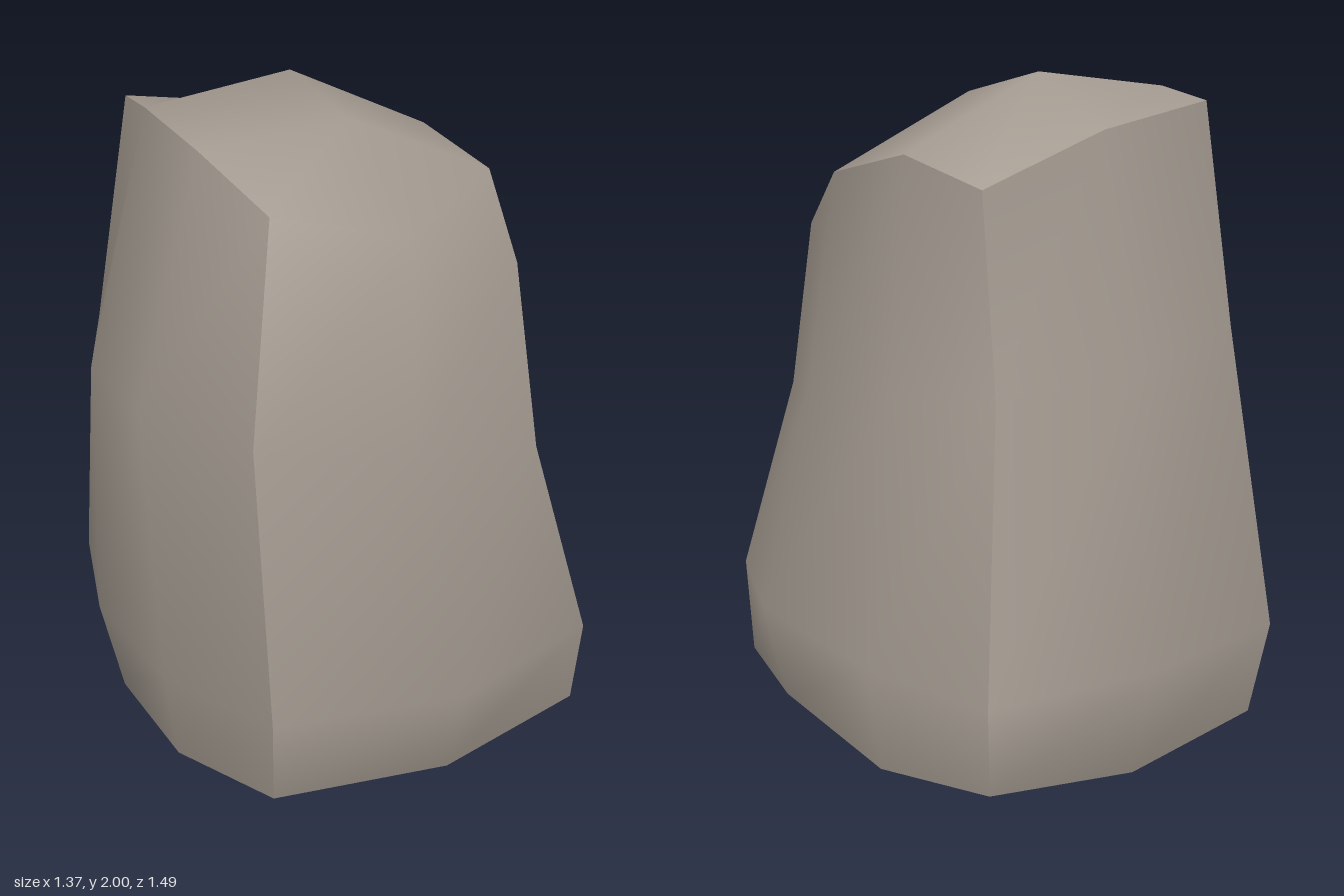
import * as THREE from 'three';
import { mergeGeometries } from 'three/addons/utils/BufferGeometryUtils.js';

// Horizontal rings, bottom to top: front edge (-x to +x), +x side, back edge, -x side
const rings = [
  [[-0.33, 0.21, 0.70], [0.20, 0.155, 0.60], [0.64, 0.21, 0.43], [0.62, 0.175, 0.12], [0.50, 0.14, -0.40],
    [0.30, 0.16, -0.705], [-0.16, 0.11, -0.62], [-0.62, 0.15, -0.45], [-0.62, 0.14, -0.08], [-0.53, 0.16, 0.35]],
  [[-0.34, 0.47, 0.745], [0.21, 0.45, 0.70], [0.645, 0.48, 0.48], [0.685, 0.46, 0.12], [0.54, 0.44, -0.41],
    [0.32, 0.42, -0.745], [-0.17, 0.44, -0.71], [-0.66, 0.43, -0.49], [-0.685, 0.43, -0.07], [-0.57, 0.45, 0.40]],
  [[-0.36, 1.24, 0.655], [0.08, 1.16, 0.64], [0.49, 1.05, 0.43], [0.54, 1.10, 0.09], [0.41, 1.15, -0.26],
    [0.20, 1.17, -0.50], [-0.22, 1.22, -0.49], [-0.61, 1.28, -0.29], [-0.68, 1.25, 0.03], [-0.60, 1.24, 0.34]],
  [[-0.27, 1.79, 0.48], [0.12, 1.70, 0.45], [0.455, 1.55, 0.31], [0.47, 1.73, 0.02], [0.36, 1.80, -0.25],
    [0.21, 1.72, -0.43], [-0.15, 1.86, -0.40], [-0.50, 1.92, -0.31], [-0.485, 1.945, -0.07], [-0.40, 1.90, 0.23]],
];
const crown = [[-0.06, 2.0, -0.165], [0.03, 1.93, 0.13]];
const base = [[-0.04, 0.0, -0.25], [0.09, 0.03, 0.28]];

// Smooth patch from rows of points, listed top to bottom and left to right as seen from outside
function patch(rows) {
  const columns = rows[0].length;
  const index = [];
  for (let r = 0; r < rows.length - 1; r++) {
    for (let c = 0; c < columns - 1; c++) {
      const a = r * columns + c;
      const b = a + columns;
      index.push(a, b, a + 1, b, b + 1, a + 1);
    }
  }
  const geometry = new THREE.BufferGeometry();
  geometry.setAttribute('position', new THREE.Float32BufferAttribute(rows.flat(2), 3));
  geometry.setIndex(index);
  geometry.computeVertexNormals();
  return geometry;
}

// One side wall: the same span of every ring, from the top down
const wall = (...span) => [3, 2, 1, 0].map((level) => span.map((i) => rings[level][i]));

// Cap rows from back to front across a ring
const cap = (ring, [back, front]) => [
  [ring[7], ring[6], ring[5]],
  [ring[8], back, ring[4]],
  [ring[9], front, ring[3]],
  [ring[0], ring[1], ring[2]],
];

export function createModel() {
  const stone = new THREE.MeshStandardMaterial({ color: 0xa39a90 });
  stone.name = 'warmGreyStone';

  // The top rolls smoothly into the front; all other borders are sharp
  const geometry = mergeGeometries([
    patch([...cap(rings[3], crown), ...wall(0, 1, 2).slice(1)]),
    patch(wall(2, 3, 4, 5)),
    patch(wall(5, 6, 7)),
    patch(wall(7, 8, 9, 0)),
    patch(cap(rings[0], base).reverse()),
  ]);

  const boulder = new THREE.Mesh(geometry, stone);
  boulder.name = 'boulder';
  const group = new THREE.Group();
  group.name = 'rock';
  group.add(boulder);
  return group;
}
